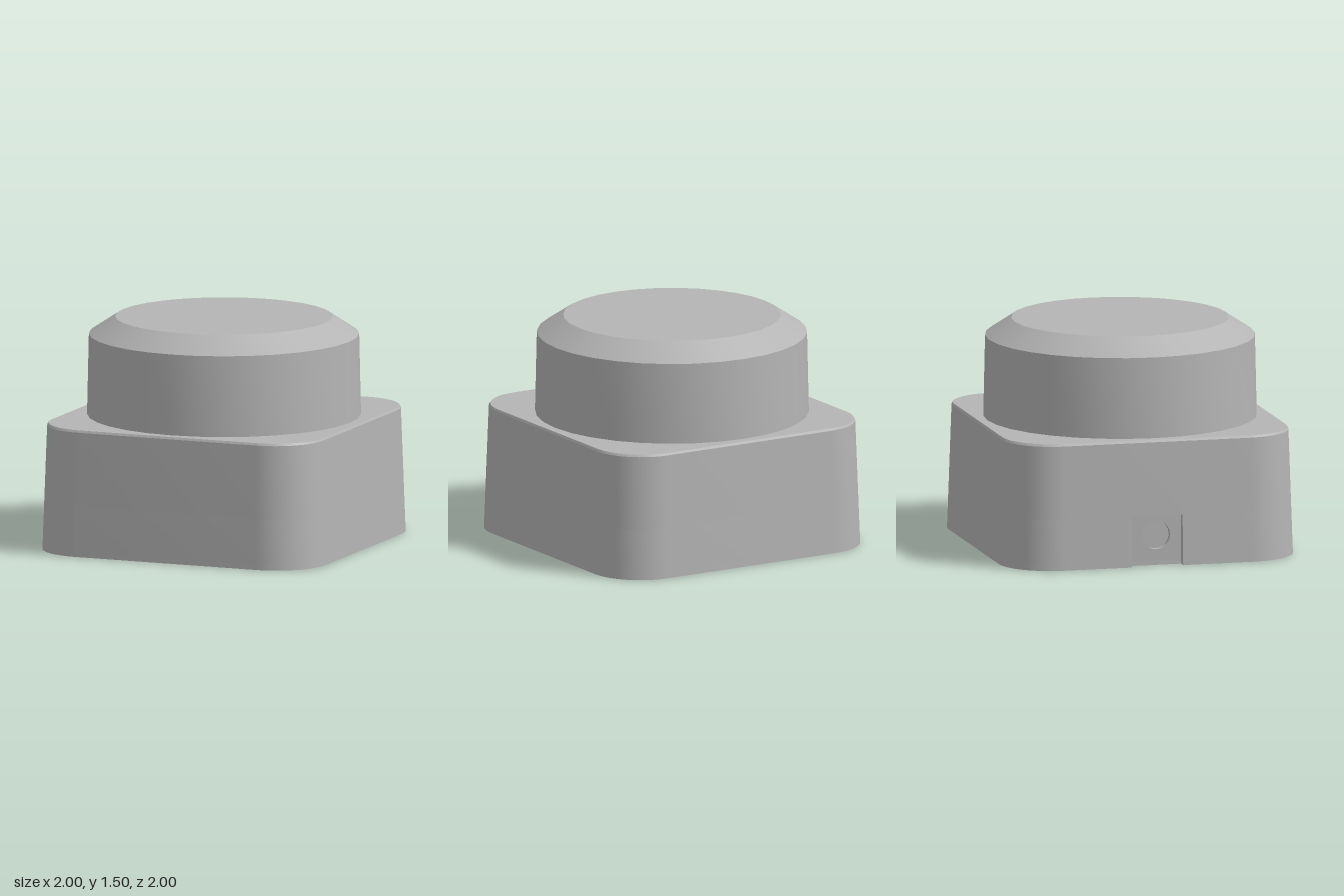
import * as THREE from 'three';
import { toCreasedNormals } from 'three/addons/utils/BufferGeometryUtils.js';

const housingGrey = new THREE.MeshStandardMaterial({ color: 0xb4b4b4 });
housingGrey.name = 'housingGrey';

const NOTCH = { near: -0.18, far: 0.17, top: 0.34 };

// Rounded square outline, optionally with a rectangular notch in its -x side
function roundedSquare(half, radius, notch = 0) {
  const s = new THREE.Shape();
  const c = half - radius;
  s.moveTo(-c, -half);
  s.lineTo(c, -half);
  s.absarc(c, -c, radius, -Math.PI / 2, 0);
  s.lineTo(half, c);
  s.absarc(c, c, radius, 0, Math.PI / 2);
  s.lineTo(-c, half);
  s.absarc(-c, c, radius, Math.PI / 2, Math.PI);
  if (notch) {
    s.lineTo(-half, -NOTCH.near);
    s.lineTo(-half + notch, -NOTCH.near);
    s.lineTo(-half + notch, -NOTCH.far);
    s.lineTo(-half, -NOTCH.far);
  }
  s.lineTo(-half, -c);
  s.absarc(-c, -c, radius, Math.PI, Math.PI * 1.5);
  return s;
}

function circleHole(x, y, r) {
  const p = new THREE.Path();
  p.absarc(x, y, r, 0, Math.PI * 2, true);
  return p;
}

// Horizontal slab between two heights; each vertex is scaled by a rule of its height
function slab(shape, y0, y1, scaleAt = () => 1) {
  const g = new THREE.ExtrudeGeometry(shape, { depth: y1 - y0, bevelEnabled: false, curveSegments: 8 });
  g.rotateX(-Math.PI / 2).translate(0, y0, 0);
  const p = g.attributes.position;
  for (let i = 0; i < p.count; i++) {
    const k = scaleAt(p.getY(i));
    p.setX(i, p.getX(i) * k);
    p.setZ(i, p.getZ(i) * k);
  }
  return toCreasedNormals(g, 0.6);
}

export function createModel() {
  const model = new THREE.Group();
  const add = (name, geometry, parent = model) => {
    const mesh = new THREE.Mesh(geometry, housingGrey);
    mesh.name = name;
    parent.add(mesh);
    return mesh;
  };

  // Tapered square housing
  const housing = new THREE.Group();
  housing.name = 'housing';
  model.add(housing);
  const taper = y => 1 - 0.026 * y / 0.83;
  const rim = roundedSquare(1, 0.35, 0.055);
  rim.holes.push(roundedSquare(0.925, 0.29));
  add('bottomRim', slab(rim, 0, 0.03, taper), housing);
  add('lowerHousing', slab(roundedSquare(1, 0.35, 0.2), 0.03, NOTCH.top, taper), housing);
  add('upperHousing', slab(roundedSquare(1, 0.35), NOTCH.top, 0.83, taper), housing);
  add('topChamfer', slab(roundedSquare(1, 0.35), 0.83, 0.845,
    y => (y > 0.84 ? 0.966 : 0.974)), housing);

  // Panel with the round socket, at the back of the side notch
  const panelShape = new THREE.Shape();
  panelShape.moveTo(NOTCH.near, 0.03);
  panelShape.lineTo(NOTCH.far, 0.03);
  panelShape.lineTo(NOTCH.far, NOTCH.top);
  panelShape.lineTo(NOTCH.near, NOTCH.top);
  panelShape.holes.push(circleHole(0, 0.2, 0.095));
  const panel = new THREE.ExtrudeGeometry(panelShape, { depth: 0.04, bevelEnabled: false, curveSegments: 10 });
  panel.rotateY(-Math.PI / 2).translate(-0.905, 0, 0);
  add('socketPanel', toCreasedNormals(panel, 0.6));

  // Bottom plate, set in the rim with a narrow gap
  const corners = [[1, 1], [1, -1], [-1, 1], [-1, -1]].map(([x, z]) => [x * 0.79, z * 0.79]);
  const plate = roundedSquare(0.91, 0.28);
  corners.forEach(([x, z]) => plate.holes.push(circleHole(x, z, 0.06)));
  [-0.86, 0.86].forEach(z => plate.holes.push(circleHole(0, z, 0.04)));
  add('bottomPlate', slab(plate, 0, 0.03));

  // Screws sunk into the plate corners
  corners.forEach(([x, z]) => {
    const screw = add('screw', toCreasedNormals(new THREE.CylinderGeometry(0.04, 0.04, 0.025, 12), 0.6));
    screw.position.set(x, 0.0175, z);
  });

  // Round turning knob with a broad chamfer
  const profile = [[0, 0.84], [0.906, 0.84], [0.894, 1.385], [0.72, 1.5], [0, 1.5]]
    .map(([r, y]) => new THREE.Vector2(r, y));
  add('knob', toCreasedNormals(new THREE.LatheGeometry(profile, 32), 0.4));

  return model;
}
